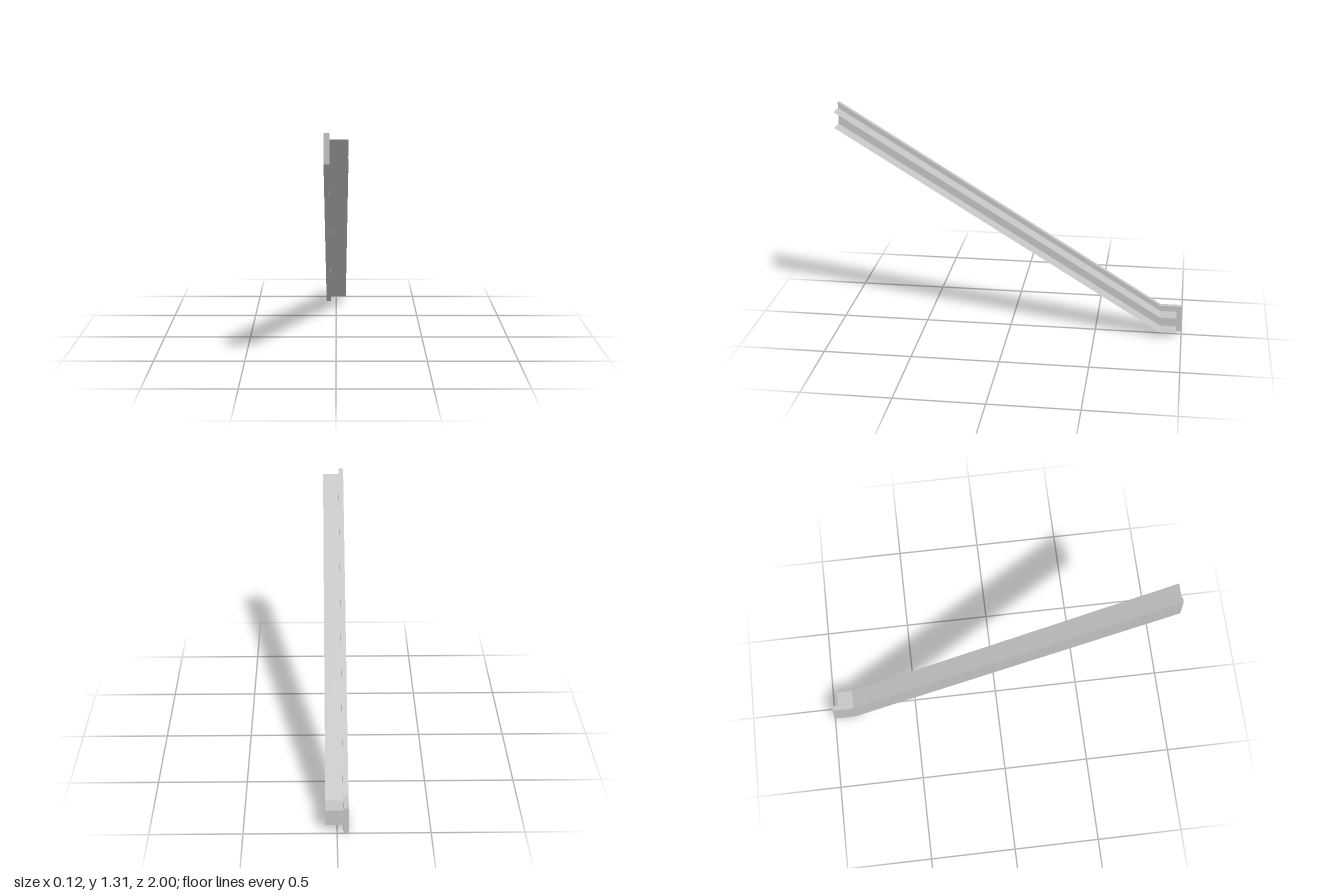
import * as THREE from 'three';

const HALF_WIDTH = 0.062;   // overall half width in x
const PLATE_INNER = -0.033; // inner face of the side plate
const BEND_Z = -0.875;      // where the slope turns level

export function createModel() {
  const model = new THREE.Group();
  model.name = 'slopedRail';

  const grey = new THREE.MeshStandardMaterial({ color: 0xc4c4c4, side: THREE.DoubleSide });
  grey.name = 'plain grey';

  // Side plate: sloped band with a short level foot, drawn as (-z, y) and extruded across x
  const outline = new THREE.Shape([
    [-1, 1.157], [-BEND_Z, 0], [1, 0], [1, 0.157], [-BEND_Z, 0.157], [-1, 1.314],
  ].map(([u, y]) => new THREE.Vector2(u, y)));
  const plateGeometry = new THREE.ExtrudeGeometry(outline, {
    depth: PLATE_INNER + HALF_WIDTH, bevelEnabled: false,
  });
  plateGeometry.rotateY(Math.PI / 2).translate(-HALF_WIDTH, 0, 0);
  const plate = new THREE.Mesh(plateGeometry, grey);
  plate.name = 'sidePlate';
  model.add(plate);

  // Thin channel standing out from the plate: top flange, end cap and bottom flange
  const path = [
    [1, 1.281], [BEND_Z, 0.125], [-0.969, 0.125], [-0.969, 0.032], [BEND_Z, 0.032], [1, 1.188],
  ];
  const names = ['topFlange', 'topFoot', 'endCap', 'bottomFoot', 'bottomFlange'];
  names.forEach((name, i) => {
    const [z0, y0] = path[i];
    const [z1, y1] = path[i + 1];
    const geometry = new THREE.BufferGeometry();
    geometry.setAttribute('position', new THREE.Float32BufferAttribute([
      PLATE_INNER, y0, z0, HALF_WIDTH, y0, z0, HALF_WIDTH, y1, z1, PLATE_INNER, y1, z1,
    ], 3));
    geometry.setIndex([0, 1, 2, 0, 2, 3]);
    geometry.computeVertexNormals();
    const sheet = new THREE.Mesh(geometry, grey);
    sheet.name = name;
    model.add(sheet);
  });

  return model;
}
